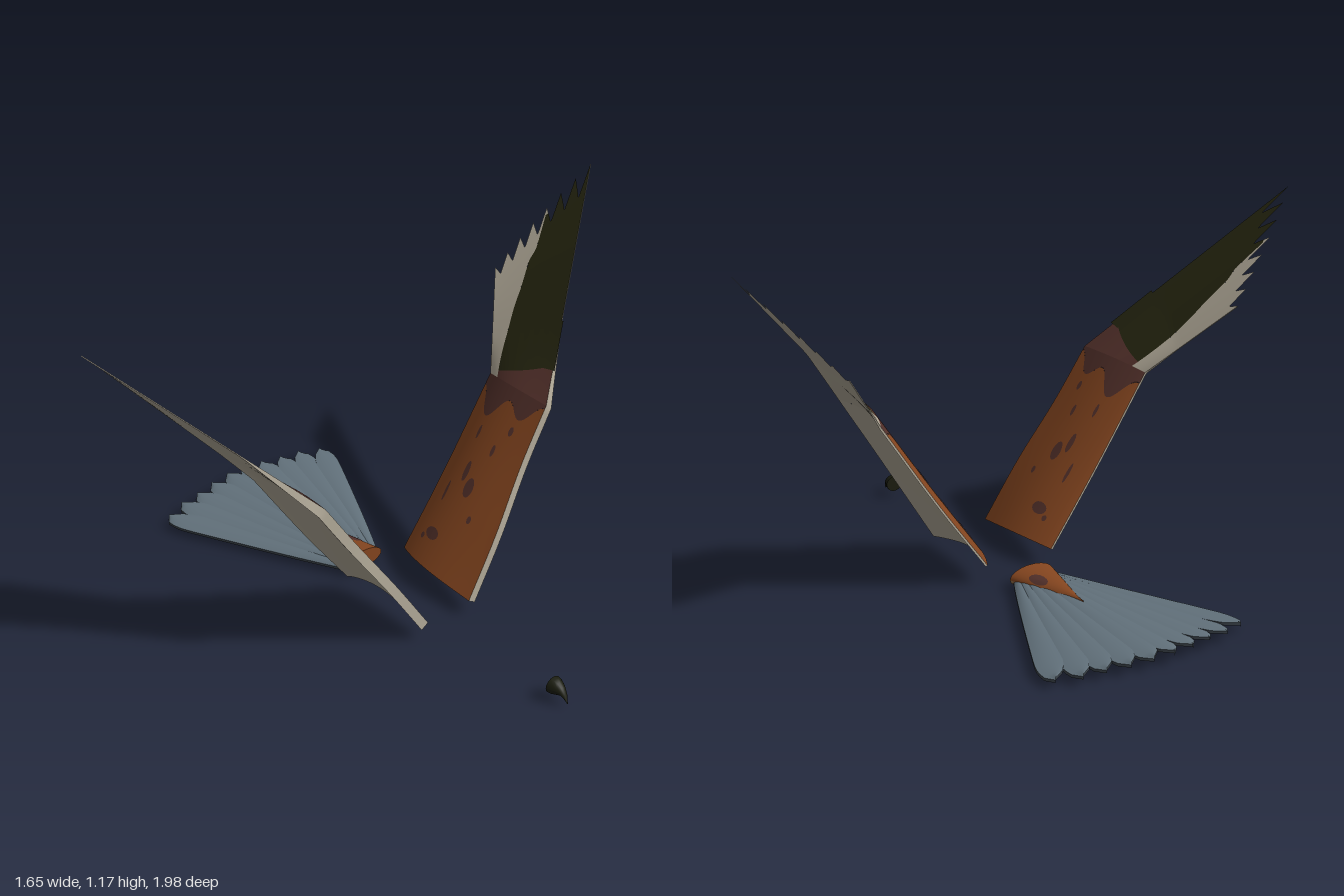
import * as THREE from 'three';

const mat = (name, color) => {
  const m = new THREE.MeshStandardMaterial({ color });
  m.name = name;
  return m;
};
const M = {
  rust: mat('rust', 0x84451f),
  brown: mat('dark brown', 0x52302a),
  black: mat('olive black', 0x24240f),
  beige: mat('beige', 0xb0a897),
  slate: mat('slate', 0x61707a),
  dark: mat('dark slate', 0x3c444b),
  olive: mat('olive grey', 0x837b6b),
  buff: mat('buff', 0x94704a),
  beak: mat('beak black', 0x1a1c0f),
};

const V = (x, y, z) => new THREE.Vector3(x, y, z);
const mix = THREE.MathUtils.lerp;

// Surface grid from fn(a, b), with a and b from 0 to 1
function surf(name, material, na, nb, fn, flip = false) {
  const pos = [], idx = [];
  for (let j = 0; j <= nb; j++)
    for (let i = 0; i <= na; i++) pos.push(...fn(i / na, j / nb).toArray());
  for (let j = 0; j < nb; j++)
    for (let i = 0; i < na; i++) {
      const p = j * (na + 1) + i, q = p + 1, r = p + na + 1, s = r + 1;
      if (flip) idx.push(p, r, q, q, r, s);
      else idx.push(p, q, r, q, s, r);
    }
  const g = new THREE.BufferGeometry();
  g.setAttribute('position', new THREE.Float32BufferAttribute(pos, 3));
  g.setIndex(idx);
  g.computeVertexNormals();
  const mesh = new THREE.Mesh(g, material);
  mesh.name = name;
  return mesh;
}

// Wing edges of the arm, from root to wrist
const leadArm = new THREE.CatmullRomCurve3([V(0.29, 0.06, 0.087), V(0.278, 0.25, 0.208), V(0.25, 0.45, 0.34), V(0.24, 0.62, 0.45)]);
const trailArm = new THREE.CatmullRomCurve3([V(-0.06, 0.07, 0.12), V(-0.055, 0.3, 0.285), V(-0.052, 0.6, 0.485)]);
const leadWrist = V(0.24, 0.62, 0.45), trailWrist = V(-0.052, 0.6, 0.485);
const firstTip = V(-0.255, 0.84, 0.69), lastTip = V(-0.13, 1.17, 0.99);

// s: 0 root, 1 wrist, 2 feather tips; t: 0 trailing, 1 leading; n: height off the surface
function wingPoint(s, t, n) {
  const v = Math.max(0, s - 1);
  const p = V(0, 0, 0);
  if (s <= 1) p.lerpVectors(trailArm.getPoint(s), leadArm.getPoint(s), t);
  else {
    const f = t * 7, notch = Math.abs(f - Math.round(f)) * 2;
    const inner = trailWrist.clone().lerp(leadWrist, t);
    const outer = firstTip.clone().lerp(lastTip, t);
    outer.x -= 0.012 * Math.sin(Math.PI * t);
    p.lerpVectors(inner, outer, v * (1 - notch * 0.12 * v * v));
  }
  const k = THREE.MathUtils.smoothstep(s, 0.85, 1.15);
  const normal = V(0, mix(0.537, 0.707, k), mix(-0.844, -0.707, k));
  const fade = Math.max(0, 1 - v / 0.35);
  const camber = (s < 1 ? mix(0.032, 0.02, s) : 0.02 * fade) * Math.sin(Math.PI * Math.pow(t, 0.8));
  return p.addScaledVector(normal, camber + n);
}
const thick = (s, t) => 0.003 + (0.004 + 0.024 * t) * Math.max(0, 1 - Math.max(0, s - 1) / 0.35);

function wing(name, side) {
  const g = new THREE.Group();
  g.name = name;
  const add = (part, material, na, nb, fn, flip) => g.add(surf(part, material, na, nb, (a, b) => {
    const p = fn(a, b);
    p.z *= side;
    return p;
  }, side > 0 ? flip : !flip));

  // Upper side: coverts, wrist patch, dark primaries and pale inner primaries
  const patch = (t) => 0.9 + 0.05 * Math.sin(t * 13 + 1.2) - 0.03 * Math.sin(t * 5);
  const darkFrom = (v) => 0.17 + 0.43 * Math.pow(v, 1.8);
  const handFrom = (t) => 1.03 + 0.13 * t;
  add('coverts', M.rust, 28, 24, (a, b) => wingPoint(b * patch(a), a, 0), true);
  add('wristPatch', M.brown, 40, 8, (a, b) => wingPoint(mix(patch(a), 1, b), a, 0), true);
  add('wristPatchOuter', M.brown, 24, 6, (a, b) => {
    const t = mix(0.17, 1, a);
    return wingPoint(mix(1, handFrom(t), b), t, 0);
  }, true);
  add('darkPrimaries', M.black, 112, 24, (a, b) => {
    const s0 = handFrom(mix(0.17, 1, a)), s = mix(s0, 2, b);
    return wingPoint(s, mix(darkFrom(s - 1), 1, a), 0);
  }, true);
  add('palePrimaries', M.beige, 112, 24, (a, b) => wingPoint(1 + b, a * darkFrom(b), 0), true);
  add('alula', M.black, 4, 10, (a, b) => wingPoint(mix(1.14, 1.34, b), mix(0.86, 1.03, a), 0.003), true);

  // Underside and closing edges
  add('underArm', M.beige, 28, 24, (a, b) => wingPoint(b, a, -thick(b, a)), false);
  add('underHand', M.beige, 112, 24, (a, b) => wingPoint(1 + b, a, -thick(1 + b, a)), false);
  add('leadingEdge', M.beige, 48, 2, (a, b) => wingPoint(2 * a, 1, -b * thick(2 * a, 1)), false);
  add('trailingEdge', M.beige, 48, 1, (a, b) => wingPoint(2 * a, 0, -b * thick(2 * a, 0)), true);
  add('rootEdge', M.beige, 28, 1, (a, b) => wingPoint(0, a, -b * thick(0, a)), false);

  // Dark flecks: span, chord, span radius, chord radius
  const flecks = [[0.18, 0.31, 0.035, 0.09], [0.14, 0.2, 0.018, 0.025], [0.42, 0.22, 0.06, 0.018], [0.48, 0.5, 0.05, 0.06],
    [0.55, 0.38, 0.05, 0.035], [0.68, 0.6, 0.03, 0.025], [0.74, 0.3, 0.035, 0.02], [0.34, 0.66, 0.02, 0.025], [0.8, 0.72, 0.025, 0.03]];
  for (const [s, t, rs, rt] of flecks)
    add('fleck', M.brown, 14, 2, (a, b) => wingPoint(
      s + b * rs * Math.sin(a * 2 * Math.PI), t + b * rt * Math.cos(a * 2 * Math.PI), 0.0025), true);
  return g;
}

function tail() {
  const g = new THREE.Group();
  g.name = 'tail';
  const tipX = [-0.83, -0.82, -0.805, -0.795, -0.765];
  for (let i = 0; i < 5; i++)
    for (const side of [1, -1]) {
      const tz = side * (0.036 + 0.074 * i);
      // One feather, slightly ridged, tucked under its inner neighbour
      const point = (a, b, drop) => {
        const q = a * 2 - 1;
        const end = b > 0.8 ? Math.sqrt(Math.max(0, 1 - Math.pow((b - 0.8) / 0.2, 2.2))) : 1;
        const w = (0.012 + 0.036 * Math.min(1, b * 1.15)) * end;
        return V(mix(-0.132, tipX[i], b), 0.049 - 0.0035 * i + 0.005 * (1 - q * q) - side * q * 0.004 - drop,
          mix(tz * 0.17, tz, Math.pow(b, 0.95)) + q * w);
      };
      g.add(surf('featherTop', M.slate, 6, 24, (a, b) => point(a, b, 0), true));
      g.add(surf('featherUnder', M.olive, 6, 14, (a, b) => point(a, b * 0.68, 0.009)));
      g.add(surf('featherUnderTip', M.dark, 6, 14, (a, b) => point(a, 0.68 + b * 0.32, 0.009)));
      for (const e of [0, 1])
        g.add(surf('featherEdge', M.dark, 24, 1, (a, b) => point(e, a, b * 0.009), e === 0));
    }

  // Tapered rump over the feather roots
  const rump = (angle, b, grow = 0) => {
    const w = 0.08 * Math.pow(1 - b, 0.9) + grow, s = Math.sin(angle);
    const h = s > 0 ? mix(0.036, 0.022, b) : mix(0.034, 0.004, b);
    return V(mix(-0.13, -0.42, b), 0.036 + s * (h + grow), w * Math.cos(angle));
  };
  g.add(surf('rumpTop', M.rust, 20, 14, (a, b) => rump(a * Math.PI, b)));
  g.add(surf('rumpUnder', M.buff, 20, 14, (a, b) => rump(Math.PI + a * Math.PI, b)));
  g.add(surf('rumpEnd', M.rust, 32, 1, (a, b) => mixToCentre(rump(a * 2 * Math.PI, 0), b, V(-0.13, 0.036, 0)), true));
  g.add(surf('rumpFleck', M.brown, 14, 2, (a, b) => rump(
    2.25 + 0.4 * b * Math.cos(a * 2 * Math.PI), 0.33 + 0.13 * b * Math.sin(a * 2 * Math.PI), 0.002), true));
  for (const m of g.children) if (m.name === 'rumpFleck') m.material.side = THREE.DoubleSide;
  return g;
}
const mixToCentre = (p, b, c) => p.lerp(c, b);

// Hooked beak from cross-sections: x, top, bottom, half width
function beak() {
  const rows = [[0.755, 0.08, 0.025, 0.03], [0.768, 0.08, 0.025, 0.027], [0.782, 0.075, 0.03, 0.021],
    [0.797, 0.063, 0.035, 0.014], [0.81, 0.045, 0.027, 0.008], [0.82, 0.015, 0.015, 0.001]];
  const ring = (a, j) => {
    const [x, top, bottom, w] = rows[j], r = a * 2 * Math.PI;
    return V(x, (top + bottom) / 2 + Math.sin(r) * (top - bottom) / 2, w * Math.cos(r));
  };
  const g = new THREE.Group();
  g.name = 'beak';
  const n = rows.length - 1;
  g.add(surf('beakHook', M.beak, 16, n, (a, b) => ring(a, Math.round(b * n)), true));
  g.add(surf('beakBase', M.beak, 16, 1, (a, b) => mixToCentre(ring(a, 0), b, V(0.755, 0.052, 0))));
  return g;
}

export function createModel() {
  const model = new THREE.Group();
  model.name = 'bird';
  model.add(wing('rightSideWing', 1), wing('leftSideWing', -1), tail(), beak());
  return model;
}
